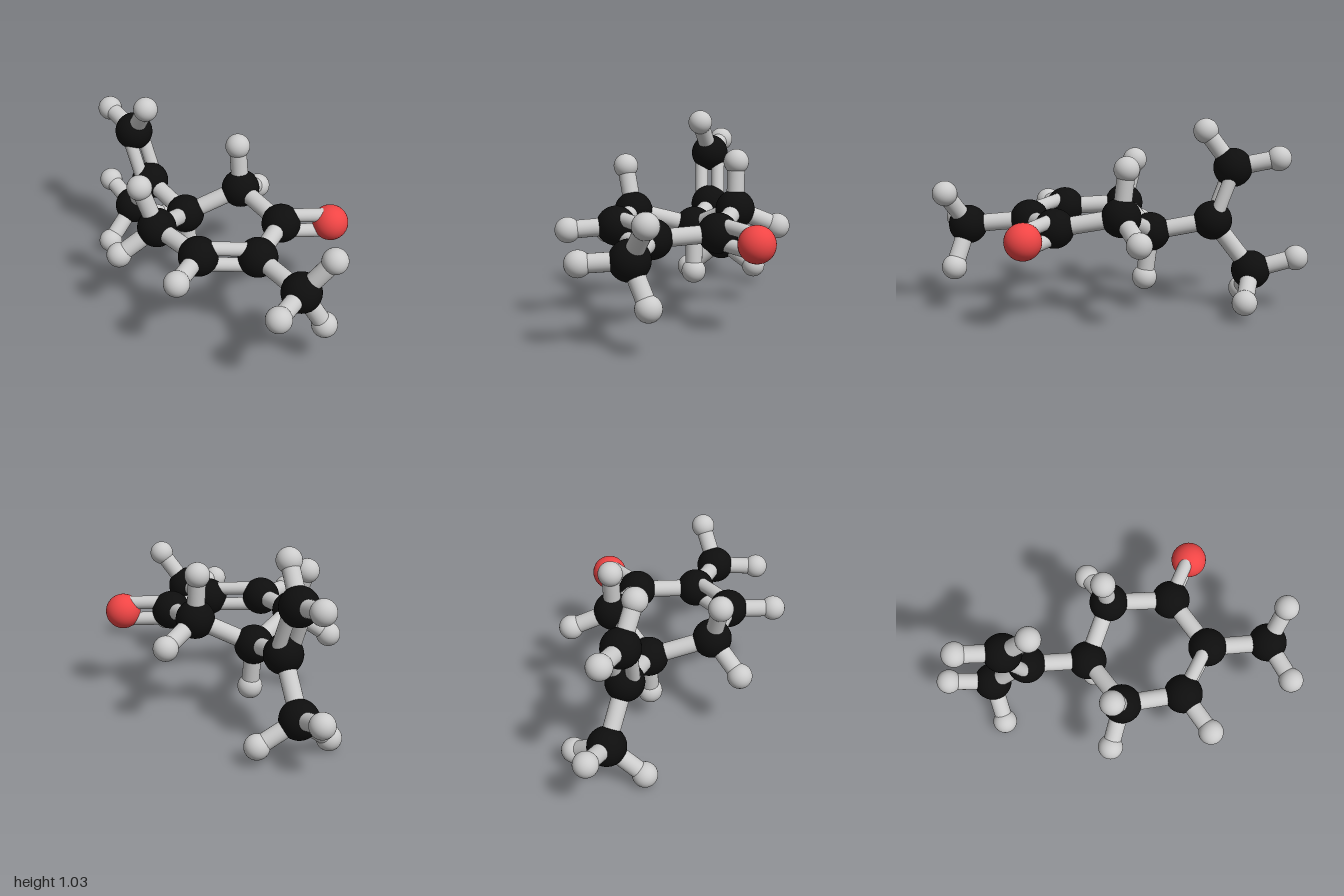
import * as THREE from 'three';

const MATERIALS = {
  C: new THREE.MeshStandardMaterial({ color: 0x0e0e0e }),
  O: new THREE.MeshStandardMaterial({ color: 0xf04545 }),
  H: new THREE.MeshStandardMaterial({ color: 0xcccccc }),
};
const RADII = { C: 0.104, O: 0.096, H: 0.067 };
const NAMES = { C: 'carbon', O: 'oxygen', H: 'hydrogen' };

// Heavy atoms: element and position
const ATOMS = {
  carbonyl: ['C', 0.355, 0.505, -0.267],
  oxygen: ['O', 0.513, 0.49, -0.485],
  ringAlkene: ['C', 0.485, 0.489, 0.043],
  ringAlkeneH: ['C', 0.29, 0.508, 0.278],
  ringFront: ['C', -0.042, 0.525, 0.265],
  ringLeft: ['C', -0.163, 0.43, -0.05],
  ringBack: ['C', 0.013, 0.565, -0.303],
  methylRing: ['C', 0.818, 0.457, 0.078],
  branch: ['C', -0.493, 0.494, -0.08],
  methylene: ['C', -0.6, 0.776, -0.062],
  methylBranch: ['C', -0.698, 0.226, -0.118],
};

// Hydrogens grouped by the carbon that carries them
const HYDROGENS = {
  ringAlkeneH: [[0.383, 0.495, 0.512]],
  ringFront: [[-0.107, 0.76, 0.322], [-0.146, 0.384, 0.443]],
  ringLeft: [[-0.13, 0.18, -0.054]],
  ringBack: [[-0.015, 0.815, -0.303], [-0.062, 0.468, -0.52]],
  methylRing: [[0.93, 0.648, -0.026], [0.886, 0.446, 0.313], [0.89, 0.247, -0.028]],
  methylene: [[-0.842, 0.826, -0.09], [-0.457, 0.969, -0.03]],
  methylBranch: [[-0.935, 0.296, -0.147], [-0.681, 0.069, 0.077], [-0.632, 0.102, -0.322]],
};

const SINGLE_BONDS = [
  ['carbonyl', 'ringAlkene'], ['ringAlkeneH', 'ringFront'], ['ringFront', 'ringLeft'],
  ['ringLeft', 'ringBack'], ['ringBack', 'carbonyl'], ['ringAlkene', 'methylRing'],
  ['ringLeft', 'branch'], ['branch', 'methylBranch'],
];

// Double bonds with the direction in which their two rods are spread
const DOUBLE_BONDS = [
  ['carbonyl', 'oxygen', [0, 1, 0]],
  ['ringAlkene', 'ringAlkeneH', [0, 1, 0]],
  ['branch', 'methylene', [0, 0, 1]],
];

function makeAtom(element, position) {
  const mesh = new THREE.Mesh(new THREE.SphereGeometry(RADII[element], 32, 20), MATERIALS[element]);
  mesh.name = NAMES[element] + 'Atom';
  mesh.position.copy(position);
  return mesh;
}

// Straight rod between two points
function makeRod(a, b, radius, name) {
  const axis = b.clone().sub(a);
  const geometry = new THREE.CylinderGeometry(radius, radius, axis.length(), 24);
  const mesh = new THREE.Mesh(geometry, MATERIALS.H);
  mesh.name = name;
  mesh.position.copy(a).add(b).multiplyScalar(0.5);
  mesh.quaternion.setFromUnitVectors(new THREE.Vector3(0, 1, 0), axis.normalize());
  return mesh;
}

// Two thin parallel rods, spread at right angles to the bond
function makeDoubleBond(a, b, spread) {
  const group = new THREE.Group();
  group.name = 'doubleBond';
  const axis = b.clone().sub(a).normalize();
  const offset = new THREE.Vector3(...spread).projectOnPlane(axis).setLength(0.047);
  for (const side of [-1, 1]) {
    const shift = offset.clone().multiplyScalar(side);
    group.add(makeRod(a.clone().add(shift), b.clone().add(shift), 0.037, 'doubleBondRod'));
  }
  return group;
}

export function createModel() {
  const model = new THREE.Group();
  model.name = 'molecule';
  const at = (key) => new THREE.Vector3(...ATOMS[key].slice(1));

  // Carbon frame and oxygen
  for (const key in ATOMS) model.add(makeAtom(ATOMS[key][0], at(key)));

  // Hydrogens with their bonds
  for (const key in HYDROGENS) {
    for (const point of HYDROGENS[key]) {
      const position = new THREE.Vector3(...point);
      model.add(makeAtom('H', position), makeRod(at(key), position, 0.047, 'hydrogenBond'));
    }
  }

  // Bonds of the frame
  for (const [a, b] of SINGLE_BONDS) model.add(makeRod(at(a), at(b), 0.047, 'singleBond'));
  for (const [a, b, spread] of DOUBLE_BONDS) model.add(makeDoubleBond(at(a), at(b), spread));

  return model;
}
